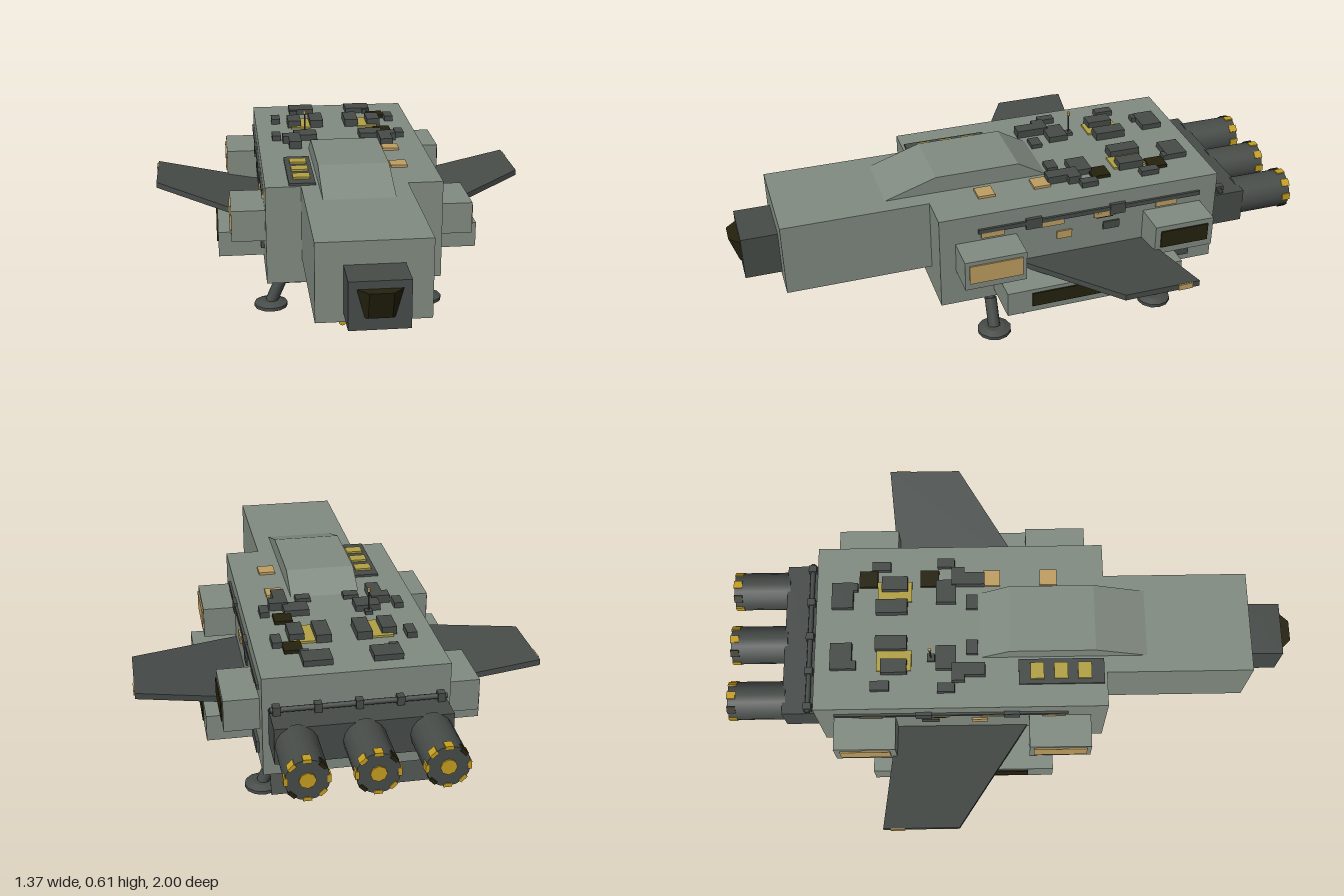
import * as THREE from 'three';
import { ConvexGeometry } from 'three/addons/geometries/ConvexGeometry.js';

const paint = (name, color) => {
  const m = new THREE.MeshStandardMaterial({ color });
  m.name = name;
  return m;
};

export function createModel() {
  const model = new THREE.Group();
  model.name = 'dropship';
  const hull = paint('hull grey green', 0x828c82);
  const dark = paint('dark grey', 0x474c49);
  const glass = paint('dark glass', 0x25220e);
  const tan = paint('tan', 0xbf9f62);
  const yellow = paint('yellow', 0xb3a244);
  const gold = paint('gold', 0xc7a021);

  const add = (name, geo, mat) => {
    const mesh = new THREE.Mesh(geo, mat);
    mesh.name = name;
    model.add(mesh);
    return mesh;
  };
  // Box given by its limits
  const box = (name, mat, x0, x1, y0, y1, z0, z1) => {
    const m = add(name, new THREE.BoxGeometry(Math.abs(x1 - x0), y1 - y0, z1 - z0), mat);
    m.position.set((x0 + x1) / 2, (y0 + y1) / 2, (z0 + z1) / 2);
    return m;
  };
  const solid = (name, mat, pts) =>
    add(name, new ConvexGeometry(pts.map((p) => new THREE.Vector3(...p))), mat);
  // Cylinder between two points
  const rod = (name, mat, a, b, ra, rb = ra, sides = 10) => {
    const p = new THREE.Vector3(...a), q = new THREE.Vector3(...b);
    const d = q.clone().sub(p);
    const m = add(name, new THREE.CylinderGeometry(rb, ra, d.length(), sides), mat);
    m.position.copy(p).add(q).multiplyScalar(0.5);
    m.quaternion.setFromUnitVectors(new THREE.Vector3(0, 1, 0), d.normalize());
    return m;
  };
  const top = 0.515;

  // Hull and nose
  box('mainHull', hull, -0.3, 0.3, 0.17, top, -0.675, 0.335);
  box('frontHull', hull, -0.18, 0.18, 0.255, top, 0.335, 0.84);
  box('noseBlock', dark, -0.094, 0.094, 0.285, 0.44, 0.84, 0.965);
  solid('cockpitWindow', glass, [-1, 1].flatMap((s) => [
    [s * 0.07, 0.415, 0.964], [s * 0.046, 0.325, 0.964],
    [s * 0.036, 0.415, 1], [s * 0.036, 0.325, 0.972],
  ]));
  solid('dorsalHump', hull, [-0.12, 0.12].flatMap((x) => [
    [x, 0.51, 0.49], [x, 0.575, 0.295], [x, 0.575, 0], [x, 0.51, -0.11],
  ]));

  for (const s of [-1, 1]) {
    // Side pods with window plates
    const pods = [
      ['frontPod', 0.415, 0.305, 0.415, 0.065, 0.28, tan, 0.33, 0.4, 0.08, 0.265],
      ['rearPod', 0.415, 0.305, 0.415, -0.615, -0.4, s > 0 ? glass : tan, 0.332, 0.396, -0.595, -0.42],
      ['lowerPod', 0.46, 0.2, 0.29, -0.485, 0.147, glass, 0.224, 0.276, -0.395, 0.06],
    ];
    for (const [name, x, y0, y1, z0, z1, mat, w0, w1, v0, v1] of pods) {
      box(name, hull, s * 0.29, s * x, y0, y1, z0, z1);
      box(name + 'Window', mat, s * x, s * (x + 0.005), w0, w1, v0, v1);
    }

    // Swept wing rising to the tip
    solid('wing', dark, [0, 0.021].flatMap((t) => [
      [s * 0.29, 0.279 + t, -0.405], [s * 0.29, 0.279 + t, 0.065],
      [s * 0.682, 0.352 + t, -0.44], [s * 0.682, 0.352 + t, -0.18],
    ]));
    box('wingTipLight', tan, s * 0.678, s * 0.686, 0.352, 0.372, -0.415, -0.365);

    // Side conduit, patches and fittings
    box('sideConduit', dark, s * 0.298, s * 0.308, 0.444, 0.46, -0.61, 0.2);
    for (const z of [0.15, -0.065, -0.255, -0.485])
      box('sidePatch', tan, s * 0.298, s * 0.306, 0.424, 0.444, z - 0.04, z + 0.04);
    for (const z of [0.005, -0.3])
      box('conduitClamp', dark, s * 0.298, s * 0.312, 0.43, 0.47, z - 0.028, z + 0.028);
    box('sideVent', glass, s * 0.298, s * 0.306, 0.42, 0.44, -0.285, -0.225);
    box('sideLight', tan, s * 0.298, s * 0.306, 0.365, 0.395, -0.135, -0.08);
    box('sideHatch', dark, s * 0.298, s * 0.306, 0.37, 0.4, -0.31, -0.25);
    box('lowerVent', dark, s * 0.298, s * 0.31, 0.198, 0.24, -0.585, -0.24);
    box('sideFitting', dark, s * 0.298, s * 0.313, 0.24, 0.3, 0.145, 0.185);

    // Landing legs with doors
    for (const z of [0.14, -0.475]) {
      box('legMount', dark, s * 0.16, s * 0.265, 0.158, 0.172, z - 0.065, z + 0.065);
      rod('legUpper', dark, [s * 0.213, 0.165, z], [s * 0.245, 0.09, z], 0.017);
      rod('legLower', dark, [s * 0.236, 0.115, z], [s * 0.278, 0.018, z], 0.022);
      rod('foot', dark, [s * 0.28, 0, z], [s * 0.28, 0.012, z], 0.06, 0.06, 12);
      rod('footTop', dark, [s * 0.28, 0.012, z], [s * 0.28, 0.022, z], 0.06, 0.035, 12);
      const door = box('legDoor', dark, s * 0.157, s * 0.265, 0.03, 0.17, z - 0.093, z - 0.087);
      door.rotation.x = 0.37;
    }

    // Chin guns
    rod('gunBarrel', dark, [s * 0.09, 0.229, 0.61], [s * 0.09, 0.229, 0.775], 0.011);
    rod('gunTip', gold, [s * 0.09, 0.229, 0.775], [s * 0.09, 0.229, 0.785], 0.012);
    box('gunMount', dark, s * 0.08, s * 0.1, 0.229, 0.257, 0.65, 0.68);

    // Mirrored roof equipment: x0, x1, height, z0, z1
    const roof = [
      [0.065, 0.16, 0.02, -0.62, -0.545], [0.13, 0.16, 0.018, -0.55, -0.53],
      [0.128, 0.178, 0.028, -0.445, -0.355], [0.042, 0.093, 0.028, -0.465, -0.355],
      [0.205, 0.238, 0.02, -0.48, -0.415], [0.215, 0.247, 0.02, -0.25, -0.19],
      [0.08, 0.165, 0.022, -0.255, -0.185], [0.145, 0.21, 0.028, -0.2, -0.155],
      [0.145, 0.19, 0.028, -0.16, -0.085], [0.058, 0.11, 0.015, -0.15, -0.11],
    ];
    for (const [x0, x1, h, z0, z1] of roof)
      box('roofUnit', dark, s * x0, s * x1, top - 0.005, top + h, z0, z1);
    box('roofPanel', yellow, s * 0.09, s * 0.165, top - 0.002, top + 0.007, -0.46, -0.34);
  }

  // Single-sided roof details
  for (const z of [-0.525, -0.31])
    box('roofVent', glass, 0.145, 0.206, top - 0.005, top + 0.012, z, z + 0.065);
  for (const z of [-0.09, 0.11])
    box('roofHatch', tan, 0.146, 0.204, top - 0.005, top + 0.009, z, z + 0.06);
  box('roofLightBase', dark, -0.22, -0.13, top - 0.005, top + 0.008, 0.03, 0.325);
  for (const z of [0.07, 0.152, 0.234])
    box('roofLight', yellow, -0.203, -0.145, top, top + 0.015, z, z + 0.047);
  box('antennaBase', dark, -0.133, -0.107, top, top + 0.012, -0.285, -0.259);
  rod('antenna', dark, [-0.12, top, -0.272], [-0.12, 0.598, -0.272], 0.003, 0.003, 6);
  rod('antennaTip', tan, [-0.12, 0.595, -0.272], [-0.12, 0.607, -0.272], 0.006, 0.006, 6);

  // Engine block with fuel pipe
  box('engineBlock', dark, -0.28, 0.28, 0.285, 0.408, -0.8, -0.675);
  rod('fuelPipe', dark, [-0.28, 0.422, -0.708], [0.28, 0.422, -0.708], 0.009, 0.009, 8);
  for (const x of [-0.26, -0.13, 0, 0.13, 0.26])
    box('pipeClamp', dark, x - 0.012, x + 0.012, 0.4, 0.437, -0.722, -0.694);

  // Three engines, each with a segmented gold rim and a gold core
  for (const x of [-0.21, 0, 0.21]) {
    const y = 0.346;
    rod('engine', dark, [x, y, -0.79], [x, y, -0.992], 0.068, 0.068, 16);
    rod('engineCore', gold, [x, y, -0.99], [x, y, -0.997], 0.026, 0.026, 8);
    for (let i = 0; i < 8; i++) {
      const a = (i / 8) * Math.PI * 2;
      const seg = add('rimSegment', new THREE.BoxGeometry(0.012, 0.026, 0.03), i % 4 === 3 ? glass : gold);
      seg.position.set(x + Math.cos(a) * 0.064, y + Math.sin(a) * 0.064, -0.98);
      seg.rotation.z = a;
    }
  }
  return model;
}
